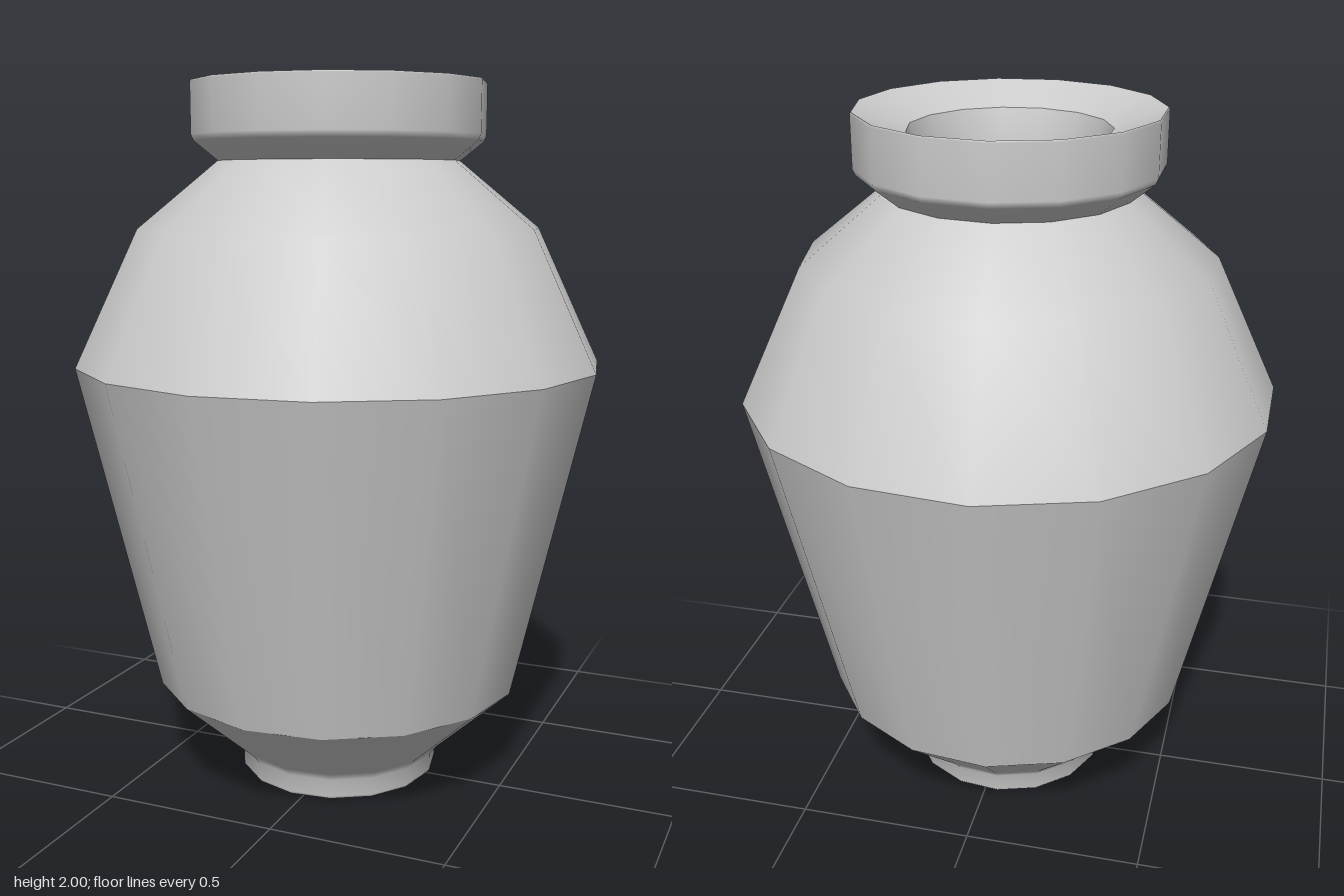
import * as THREE from 'three';

const SIDES = 15;

// Each band is smooth inside; edges between bands stay sharp. Points are [radius, height].
const BANDS = {
  base: [[0, 0], [0.283, 0]],
  foot: [[0.283, 0], [0.291, 0.01], [0.291, 0.06], [0.31, 0.085], [0.53, 0.285]],
  body: [[0.53, 0.285], [0.748, 1.22]],
  shoulder: [[0.748, 1.22], [0.568, 1.6], [0.342, 1.785]],
  collar: [[0.342, 1.785], [0.408, 1.838], [0.415, 1.855], [0.415, 1.995], [0.412, 2]],
  lip: [[0.412, 2], [0.273, 1.945]],
  throat: [[0.273, 1.945], [0.25, 1.86], [0.245, 1.78]],
  innerShoulder: [[0.245, 1.78], [0.52, 1.55], [0.68, 1.22]],
  innerBody: [[0.68, 1.22], [0.47, 0.31], [0.25, 0.1]],
  innerFloor: [[0.25, 0.1], [0, 0.1]],
};

export function createModel() {
  const vase = new THREE.Group();
  vase.name = 'vase';
  const material = new THREE.MeshStandardMaterial({ color: 0xcccccc });

  for (const [name, profile] of Object.entries(BANDS)) {
    const points = profile.map(([r, y]) => new THREE.Vector2(r, y));
    // Start the ring with a corner on +x
    const band = new THREE.Mesh(new THREE.LatheGeometry(points, SIDES, Math.PI / 2), material);
    band.name = name;
    vase.add(band);
  }

  // An odd-sided ring reaches further on +x, so shift it to centre its bounds
  vase.children.forEach((band) => { band.position.x = -0.008; });
  return vase;
}
